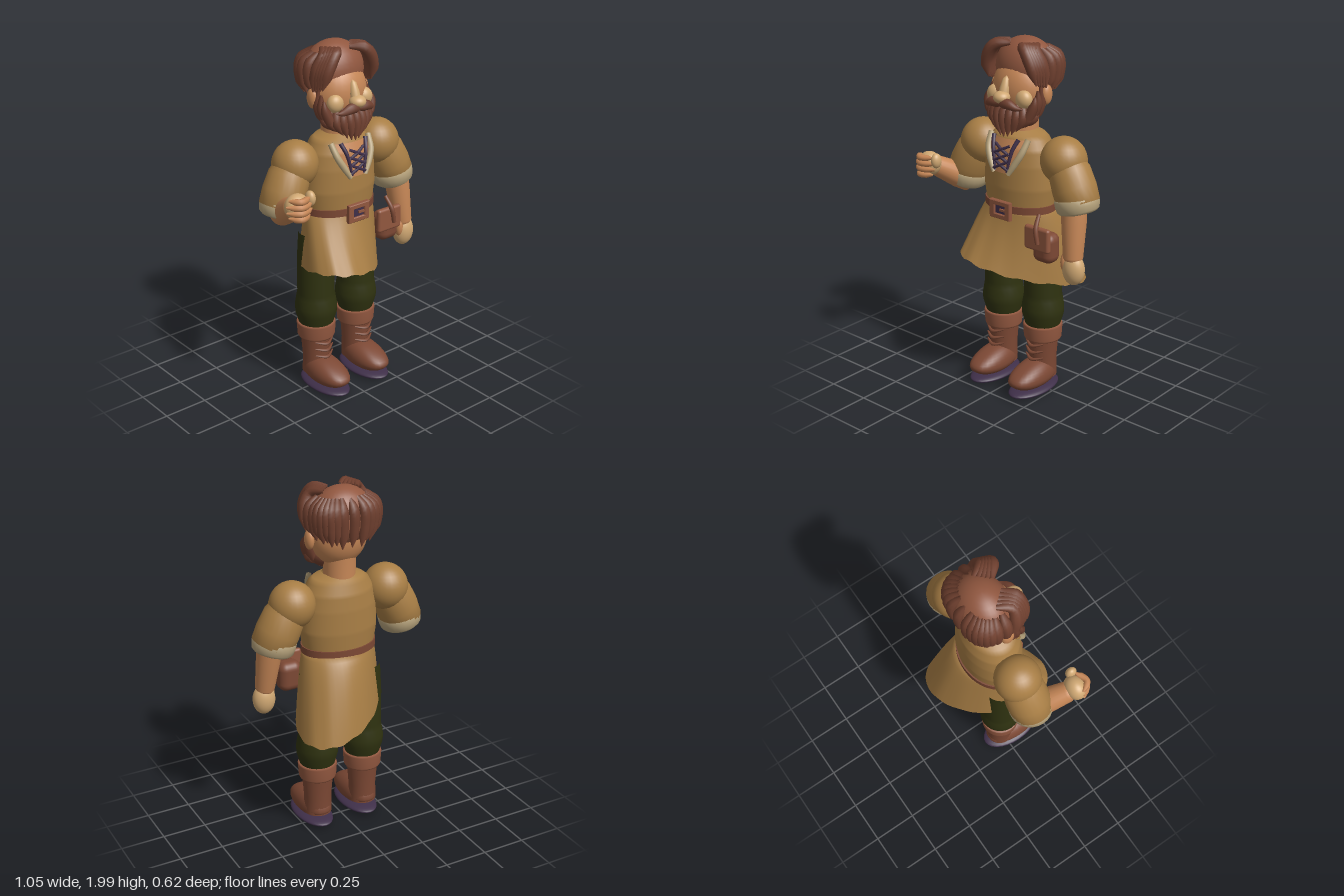
import * as THREE from 'three';
import { RoundedBoxGeometry } from 'three/addons/geometries/RoundedBoxGeometry.js';
import { ParametricGeometry } from 'three/addons/geometries/ParametricGeometry.js';

const V = (p) => new THREE.Vector3(...p);
const lerp = THREE.MathUtils.lerp;

function paint(name, color, double) {
  const m = new THREE.MeshStandardMaterial({ color });
  m.name = name;
  if (double) m.side = THREE.DoubleSide;
  return m;
}

// Linear lookup in an evenly spaced list
function sample(list, t) {
  const f = Math.min(Math.max(t, 0), 0.9999) * (list.length - 1), i = Math.floor(f);
  return lerp(list[i], list[i + 1], f - i);
}

// Tube along a curve whose radius follows a list
function strandGeo(points, radii, sides = 10) {
  const curve = new THREE.CatmullRomCurve3(points.map(V)), n = 16;
  const geo = new THREE.TubeGeometry(curve, n, 1, sides), pos = geo.attributes.position;
  const p = new THREE.Vector3();
  for (let i = 0; i < pos.count; i++) {
    const u = Math.floor(i / (sides + 1)) / n, c = curve.getPointAt(u);
    p.fromBufferAttribute(pos, i).sub(c).multiplyScalar(Math.max(sample(radii, u), 0.0005)).add(c);
    pos.setXYZ(i, p.x, p.y, p.z);
  }
  return geo;
}

// Turned solid between two points; profile is [radius, fraction of length]
function turnedGeo(from, to, profile) {
  const a = V(from), d = V(to).sub(a), len = d.length();
  const geo = new THREE.LatheGeometry(profile.map(([r, t]) => new THREE.Vector2(r, t * len)), 24);
  geo.applyQuaternion(new THREE.Quaternion().setFromUnitVectors(new THREE.Vector3(0, 1, 0), d.normalize()));
  return geo.translate(a.x, a.y, a.z);
}

// Upper tunic: [height, half width, half depth]
const torso = [[1.51, 0.09, 0.08], [1.48, 0.165, 0.125], [1.42, 0.195, 0.145], [1.32, 0.215, 0.155],
  [1.2, 0.222, 0.158], [1.085, 0.205, 0.15]];
function torsoAt(y) {
  let i = 0;
  while (i < torso.length - 2 && y < torso[i + 1][0]) i++;
  const a = torso[i], b = torso[i + 1], t = THREE.MathUtils.clamp((y - a[0]) / (b[0] - a[0]), 0, 1);
  return [lerp(a[1], b[1], t), lerp(a[2], b[2], t)];
}
function chest(x, y, lift) {
  const [rx, rz] = torsoAt(y);
  return [x, y, rz * Math.sqrt(Math.max(0, 1 - (x / rx) ** 2)) + lift];
}

export function createModel() {
  const cloth = paint('tunicCloth', 0xa87e45, true);
  const skin = paint('skin', 0xc58656);
  const pale = paint('paleSkin', 0xd0a873);
  const hair = paint('hair', 0x70402f);
  const crown = paint('crownHairAndLightLeather', 0x91573f);
  const boot = paint('bootLeather', 0x7c4834);
  const green = paint('trousers', 0x2f3210);
  const purple = paint('darkPurple', 0x3f2f49);
  const cream = paint('creamTrim', 0xb6a27b, true);

  const root = new THREE.Group();
  root.name = 'beardedVillager';
  const body = new THREE.Group();
  body.name = 'figure';
  body.position.x = 0.015;
  root.add(body);

  const add = (name, geo, mat, pos) => {
    const m = new THREE.Mesh(geo, mat);
    m.name = name;
    if (pos) m.position.set(...pos);
    body.add(m);
    return m;
  };
  const blob = (name, mat, pos, size) => add(name, new THREE.SphereGeometry(1, 28, 18).scale(...size), mat, pos);
  const strand = (name, mat, pts, radii, sides) => add(name, strandGeo(pts, radii, sides), mat);
  const turned = (name, mat, a, b, profile) => add(name, turnedGeo(a, b, profile), mat);

  // Tunic top and windblown skirt
  add('tunicTop', new ParametricGeometry((u, v, p) => {
    const a = u * Math.PI * 2, y = lerp(1.51, 1.085, v), [rx, rz] = torsoAt(y);
    p.set(rx * Math.cos(a), y, rz * Math.sin(a));
  }, 40, 20), cloth);
  add('tunicSkirt', new ParametricGeometry((u, v, p) => {
    const a = u * Math.PI * 2, c = Math.cos(a), s = Math.sin(a);
    const hx = 0.01 + 0.29 * c, hz = -0.013 + 0.298 * Math.sin(a - 0.445);
    const hy = 0.715 - 0.2 * hx + 0.15 * hz + 0.006 * Math.sin(a * 13);
    const k = v ** (0.9 + 0.3 * s);
    p.set(lerp(0.205 * c, hx, v ** 0.75), lerp(1.085, hy, v), lerp(0.15 * s, hz, k));
  }, 56, 14), cloth);

  // Open neckline with trim and lacing
  add('chestSkin', new ParametricGeometry((u, v, p) => {
    const y = lerp(1.29, 1.475, v), w = lerp(0.05, 0.12, v);
    p.set(...chest(lerp(-w, w, u), y, 0.006));
  }, 10, 10), skin);
  for (const s of [-1, 1]) {
    strand('collarTrim', cream, [[1.48, 0.128], [1.41, 0.115], [1.35, 0.085], [1.29, 0.05]]
      .map(([y, x]) => chest(s * x, y, 0.012)), [0.016, 0.018, 0.018, 0.012]);
    strand('neckCord', purple, [[1.48, 0.085], [1.42, 0.065], [1.3, 0.04]]
      .map(([y, x]) => chest(s * x, y, 0.012)), [0.012, 0.01, 0.006]);
    for (let i = 0; i < 3; i++)
      strand('chestLace', purple, [[-0.05, 1.31], [0, 1.335], [0.05, 1.36]]
        .map(([x, y]) => chest(s * x, y + i * 0.042, 0.014)), [0.008, 0.009, 0.008], 6);
  }

  // Belt and buckle
  add('belt', new THREE.CylinderGeometry(1, 1, 0.04, 40).scale(0.215, 1, 0.16), boot, [0, 1.09, 0]);
  const frame = new THREE.Shape([[-0.067, -0.047], [0.067, -0.047], [0.067, 0.047], [-0.067, 0.047]]
    .map((p) => new THREE.Vector2(...p)));
  frame.holes.push(new THREE.Path([[-0.04, -0.028], [-0.04, 0.028], [0.04, 0.028], [0.04, -0.028]]
    .map((p) => new THREE.Vector2(...p))));
  add('buckleFrame', new THREE.ExtrudeGeometry(frame, { depth: 0.02, bevelSize: 0.004, bevelThickness: 0.004,
    bevelSegments: 1 }), crown, [0, 1.083, 0.156]);
  add('buckleCentre', new THREE.BoxGeometry(0.085, 0.06, 0.01), purple, [0, 1.083, 0.163]);
  add('bucklePin', new THREE.BoxGeometry(0.045, 0.012, 0.012), crown, [0.02, 1.083, 0.172]);

  // Belt pouch
  add('pouchBody', new RoundedBoxGeometry(0.135, 0.17, 0.11, 4, 0.045), boot, [0.258, 0.915, 0.095]);
  add('pouchFlap', new RoundedBoxGeometry(0.165, 0.135, 0.034, 3, 0.015), crown, [0.24, 0.97, 0.146]);
  strand('pouchStrap', boot, [[0.232, 1.1, 0.125], [0.245, 1.03, 0.168], [0.26, 0.95, 0.172]], [0.01, 0.014, 0.012]);

  for (const s of [-1, 1]) {
    // Puffed sleeve and rolled cuff
    blob('sleevePuff', cloth, [s * 0.283, 1.375, -0.015], [0.126, 0.13, 0.126]);
    turned('sleeve', cloth, [s * 0.405, 1.15, 0], [s * 0.29, 1.4, -0.015],
      [[0.085, 0], [0.115, 0.05], [0.12, 0.35], [0.113, 0.7], [0.08, 1]]);
    turned('cuff', cream, [s * 0.4, 1.12, 0], [s * 0.378, 1.205, 0],
      [[0.07, 0], [0.1, 0], [0.114, 0.15], [0.12, 0.5], [0.12, 0.85], [0.108, 1], [0.07, 1]]);

    // Trouser leg
    const x = s * 0.145;
    turned('trouserLeg', green, [x, 0.36, -0.02], [x, 0.95, -0.02],
      [[0.09, 0], [0.1, 0.07], [0.117, 0.17], [0.119, 0.24], [0.11, 0.33], [0.105, 0.38], [0.105, 0.7], [0.095, 1]]);

    // Boot
    turned('bootShaft', boot, [x, 0.08, -0.02], [x, 0.34, -0.02], [[0.08, 0], [0.078, 0.4], [0.09, 1]]);
    turned('bootCuff', crown, [x, 0.31, -0.02], [x, 0.4, -0.02],
      [[0.08, 0], [0.102, 0], [0.106, 0.1], [0.111, 0.9], [0.107, 1], [0.08, 1]]);
    const foot = new THREE.SphereGeometry(1, 28, 18), pos = foot.attributes.position;
    for (let i = 0; i < pos.count; i++) {
      const y = pos.getY(i), z = pos.getZ(i);
      const px = Math.sign(pos.getX(i)) * Math.abs(pos.getX(i)) ** 0.8;
      pos.setXYZ(i, px * 0.094, 0.1 + y * (y < 0 ? 0.062 : 0.088 - 0.028 * z), 0.068 + z * 0.172);
    }
    foot.computeVertexNormals();
    add('bootFoot', foot, boot, [x, 0, 0]);
    blob('bootSole', purple, [x, 0.027, 0.058], [0.101, 0.027, 0.184]);
    for (let i = 0; i < 3; i++) {
      const y = 0.2 + i * 0.042;
      strand('bootLace', boot, [[x - 0.062, y + 0.014, 0.05], [x, y, 0.078], [x + 0.062, y + 0.014, 0.05]],
        [0.004, 0.011, 0.004], 6);
    }
  }

  // Left arm, hanging
  turned('leftForearm', skin, [0.418, 0.87, 0.068], [0.393, 1.17, 0.03], [[0.045, 0], [0.054, 0.05], [0.068, 0.7], [0.068, 1]]);
  blob('leftHand', pale, [0.423, 0.82, 0.068], [0.064, 0.088, 0.054]);
  blob('leftThumb', skin, [0.376, 0.855, 0.085], [0.022, 0.055, 0.025]);

  // Right arm, raised with a closed hand
  turned('rightForearm', skin, [-0.385, 1.13, 0], [-0.46, 1.25, 0.2], [[0.07, 0], [0.072, 0.3], [0.056, 0.95], [0.045, 1]]);
  blob('rightHand', pale, [-0.463, 1.262, 0.228], [0.07, 0.068, 0.057]);
  blob('rightThumb', pale, [-0.393, 1.295, 0.25], [0.026, 0.042, 0.032]);
  for (let i = 0; i < 4; i++) {
    const y = 1.212 + i * 0.032, w = i % 3 ? 0.07 : 0.055;
    strand('rightFinger', skin, [[-0.465 - w, y, 0.235], [-0.48, y, 0.288], [-0.462 + w, y, 0.262]],
      [0.005, 0.017, 0.018, 0.018, 0.005]);
  }

  // Neck, head and face
  turned('neck', skin, [0, 1.4, -0.015], [0, 1.65, -0.015], [[0.095, 0], [0.086, 0.4], [0.09, 1]]);
  blob('head', skin, [0, 1.725, -0.003], [0.162, 0.175, 0.134]);
  blob('noseTip', pale, [0, 1.702, 0.155], [0.046, 0.034, 0.045]);
  turned('noseBridge', pale, [0, 1.7, 0.142], [0, 1.81, 0.112], [[0.028, 0], [0.027, 0.4], [0.018, 0.85], [0.001, 1]]);
  for (const s of [-1, 1]) {
    blob('cheek', pale, [s * 0.098, 1.695, 0.092], [0.048, 0.05, 0.04]);
    blob('ear', skin, [s * 0.172, 1.715, -0.005], [0.025, 0.055, 0.035]);
    strand('moustache', hair, [[s * -0.01, 1.672, 0.155], [s * 0.05, 1.675, 0.165], [s * 0.1, 1.655, 0.15], [s * 0.128, 1.652, 0.13]],
      [0.018, 0.03, 0.026, 0.016, 0]);
    // Sideburn locks joining the beard
    for (let i = 0; i < 3; i++)
      strand('sideburn', hair, [[s * 0.155, 1.77 - i * 0.03, 0.025 + i * 0.022], [s * 0.158, 1.67, 0.025 + i * 0.028],
        [s * 0.115, 1.56, 0.05 + i * 0.025]], [0.006, 0.026, 0.028, 0.006]);
  }

  // Beard
  blob('beardMass', hair, [0, 1.605, 0.055], [0.142, 0.085, 0.088]);
  for (let i = 0; i < 11; i++) {
    const a = (i - 5) * 0.28, c = Math.cos(a), s = Math.sin(a);
    strand('beardLock', hair, [[0.12 * s, 1.665, 0.035 + 0.085 * c], [0.145 * s, 1.6, 0.045 + 0.1 * c],
      [0.085 * s, 1.485 + 0.06 * s * s, 0.07 + 0.07 * c]], [0.012, 0.026, 0.026, 0.018, 0.002]);
  }

  // Hair: smooth crown, locks round the back and sides, parted fringe
  blob('crownHair', crown, [0, 1.832, -0.042], [0.175, 0.162, 0.14]);
  const round = (v) => Math.sign(v) * Math.abs(v) ** 0.65;
  for (let i = 0; i < 17; i++) {
    const a = (i / 16) * Math.PI, x = 0.178 * round(Math.cos(a)), z = -0.02 - 0.148 * round(Math.sin(a));
    const end = 1.69 + 0.05 * Math.abs(Math.cos(a)) - (i % 2) * 0.015;
    strand('hairLock', hair, [[x * 0.72, 1.945, z * 0.72], [x, 1.89, z], [x * 1.01, 1.8, z * 1.01], [x * 0.9, end, z * 0.92]],
      [0.014, 0.03, 0.031, 0.027, 0.002]);
  }
  for (const s of [-1, 1])
    for (let i = 0; i < 5; i++) {
      const k = i / 4;
      strand('fringeLock', hair, [[s * (0.035 + 0.06 * k), 1.965, 0.045 - 0.07 * k], [s * (0.1 + 0.035 * k), 1.958 - 0.01 * k, 0.095 - 0.05 * k],
        [s * (0.15 + 0.025 * k), 1.88, 0.1 - 0.06 * k], [s * (0.165 + 0.015 * k), 1.77 - 0.02 * k, 0.07 - 0.06 * k]],
        [0.012, 0.03, 0.033, 0.03, 0.003]);
    }

  return root;
}
